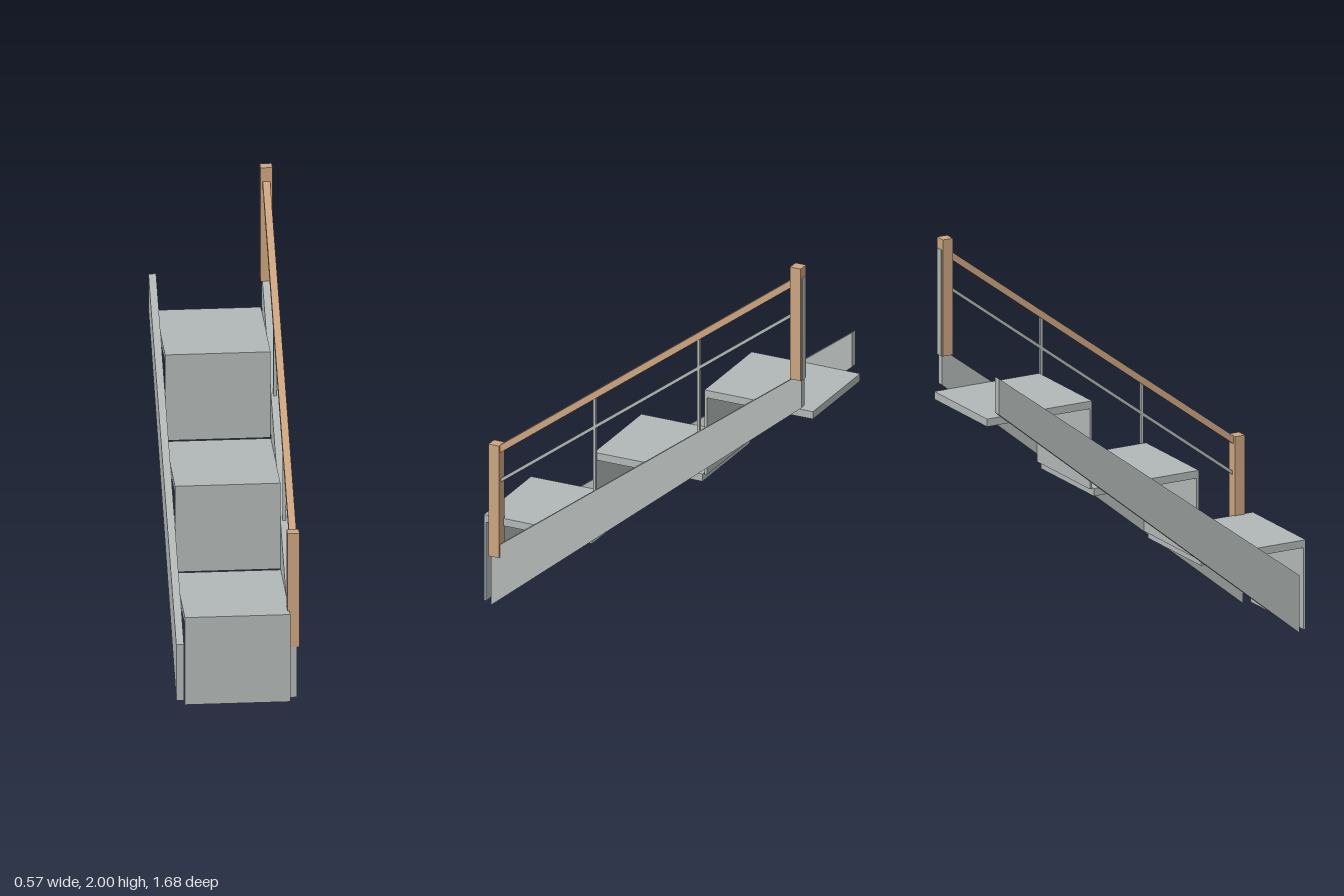
import * as THREE from 'three';

export function createModel() {
  const model = new THREE.Group();
  const material = (name, color) => {
    const m = new THREE.MeshStandardMaterial({ color });
    m.name = name;
    return m;
  };
  const grey = material('grey metal', 0xb2b8b7);
  const wood = material('light wood', 0xcda581);

  const add = (name, geometry, mat) => {
    const mesh = new THREE.Mesh(geometry, mat);
    mesh.name = name;
    model.add(mesh);
  };
  // Box given by its limits on each axis
  const box = (name, mat, [x0, x1], [y0, y1], [z0, z1]) => add(name,
    new THREE.BoxGeometry(x1 - x0, y1 - y0, z1 - z0)
      .translate((x0 + x1) / 2, (y0 + y1) / 2, (z0 + z1) / 2), mat);
  // Side outline of [z, y] points, extruded across x
  const profile = (name, mat, [x0, x1], points) => {
    const shape = new THREE.Shape(points.map(p => new THREE.Vector2(...p)));
    const geometry = new THREE.ExtrudeGeometry(shape, { depth: x1 - x0, bevelEnabled: false });
    add(name, geometry.rotateY(-Math.PI / 2).translate(x1, 0, 0), mat);
  };

  // Height of a line parallel to the stringer's top edge
  const pitch = 0.752;
  const slope = (base, z) => base + (0.79 - z) * pitch;
  const stringerTop = 0.277, handrailTop = 0.775, midRailTop = 0.605;

  // Tapered stringers on both sides
  for (const [name, x] of [['rightStringer', [-0.285, -0.25]], ['leftStringer', [0.235, 0.27]]]) {
    profile(name, grey, x, [
      [0.79, 0], [0.79, stringerTop], [-0.8, slope(stringerTop, -0.8)], [-0.8, 1.3],
    ]);
  }

  // Three treads, each with a thin riser under its front edge
  const width = [-0.25, 0.235];
  for (let i = 0; i < 3; i++) {
    const top = 0.43 + i * 0.423;
    const front = 0.843 - i * 0.565;
    box('tread' + (i + 1), grey, width, [top - 0.037, top], [front - 0.555, front]);
    box('riser' + (i + 1), grey, width, [i ? top - 0.423 : 0, top - 0.037], [front - 0.012, front]);
  }

  // Wooden end posts
  box('lowerPost', wood, [0.226, 0.281], [0.25, 0.81], [0.742, 0.796]);
  box('upperPost', wood, [0.226, 0.281], [1.44, 2], [-0.802, -0.748]);
  box('upperPostBackPlate', grey, [0.235, 0.271], [1.44, 1.95], [-0.806, -0.802]);

  // Sloping handrail and slim middle rail between the posts
  const rail = (name, mat, x, base, height) => profile(name, mat, x, [
    [0.75, slope(base, 0.75) - height], [0.75, slope(base, 0.75)],
    [-0.76, slope(base, -0.76)], [-0.76, slope(base, -0.76) - height],
  ]);
  rail('handrail', wood, [0.236, 0.27], handrailTop, 0.038);
  rail('middleRail', grey, [0.246, 0.26], midRailTop, 0.018);

  // Balusters from stringer to handrail
  for (const z of [0.265, -0.268]) {
    box('baluster', grey, [0.246, 0.26],
      [slope(stringerTop, z) - 0.02, slope(handrailTop, z) - 0.025], [z - 0.007, z + 0.007]);
  }
  return model;
}
